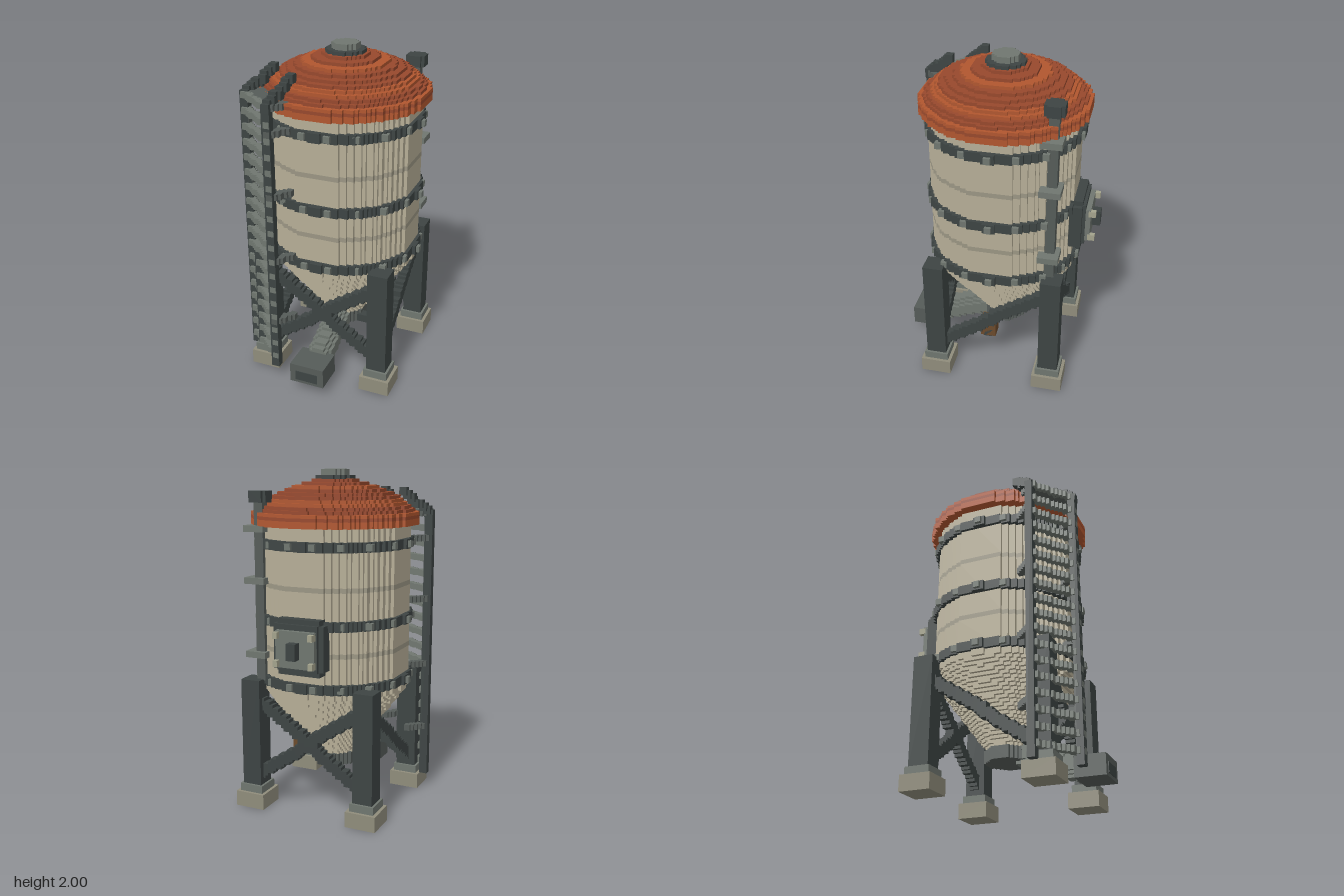
import * as THREE from 'three';
import { mergeGeometries } from 'three/addons/utils/BufferGeometryUtils.js';

const V = 1 / 54; // size of one voxel
const snap = (n) => Math.round(n / V) * V;

const DARK = 0x3d4443, STEEL = 0x555b58, GREY = 0x6f766f, PALE = 0xa3a28c;
const CREAM = 0xb5ad96, SEAM = 0x9a9583, STONE = 0x8f8c7b;
const ORANGE = 0xb0562f, RUST = 0x97482c, BROWN = 0x6b4a2b;

// Box between two corners
function box(x0, x1, y0, y1, z0, z1) {
  return new THREE.BoxGeometry(x1 - x0, y1 - y0, z1 - z0)
    .translate((x0 + x1) / 2, (y0 + y1) / 2, (z0 + z1) / 2).toNonIndexed();
}

// Round slab with a stepped outline
function disc(r, y0, y1, x = 0, z = 0) {
  const n = Math.round(r / V), right = [];
  let last = -1;
  for (let i = -n; i < n; i++) {
    const c = (i + 0.5) * V;
    const w = Math.max(V, snap(Math.sqrt(Math.max(0, r * r - c * c))));
    if (w !== last) {
      if (last >= 0) right.push([last, i * V]);
      right.push([w, i * V]);
    }
    last = w;
  }
  right.push([last, n * V]);
  const left = right.map(([px, py]) => [-px, py]).reverse();
  const shape = new THREE.Shape([...right, ...left].map((p) => new THREE.Vector2(...p)));
  return new THREE.ExtrudeGeometry(shape, { depth: y1 - y0, bevelEnabled: false })
    .rotateX(-Math.PI / 2).translate(x, y0, z);
}

// Slanted bar made of stepped blocks
function beam(a, b, t, h = t) {
  const n = Math.ceil(Math.max(...a.map((v, i) => Math.abs(b[i] - v))) / V);
  const parts = [];
  for (let i = 0; i <= n; i++) {
    const [x, y, z] = a.map((v, k) => snap(v + (b[k] - v) * i / n));
    parts.push(box(x - t / 2, x + t / 2, y - h / 2, y + h / 2, z - t / 2, z + t / 2));
  }
  return mergeGeometries(parts);
}

export function createModel() {
  const model = new THREE.Group();
  const silo = new THREE.Group();
  silo.name = 'silo';
  silo.position.set(0.0125, 0, -0.018);
  model.add(silo);

  const add = (name, color, ...geos) => {
    const mesh = new THREE.Mesh(mergeGeometries(geos),
      new THREE.MeshStandardMaterial({ color, flatShading: true }));
    mesh.name = name;
    silo.add(mesh);
  };

  // Legs on stepped footings
  for (const sx of [-1, 1]) for (const sz of [-1, 1]) {
    const x = sx * 0.36, z = sz * 0.352;
    const post = (w, y0, y1) => box(x - w, x + w, y0, y1, z - w, z + w);
    add('footing', STONE, post(0.0926, 0, 0.0926));
    add('footingCap', GREY, post(0.074, 0.0926, 0.139));
    add('leg', DARK, post(0.0602, 0.139, 0.787));
  }

  // Cross braces front and back, single braces on the sides
  for (const z of [-0.352, 0.352]) {
    add('crossBrace', DARK,
      beam([-0.32, 0.65, z], [0.32, 0.21, z], 0.0556),
      beam([-0.32, 0.21, z], [0.32, 0.65, z], 0.0556));
  }
  for (const x of [-0.36, 0.36]) {
    add('sideBrace', DARK, beam([x, 0.65, -0.32], [x, 0.21, 0.32], 0.0556));
  }

  // Hopper cone
  const cone = [];
  for (let i = 16; i < 41; i++) {
    cone.push(disc(Math.min(0.437, 0.125 + (i - 16) * 0.0137), i * V, (i + 1) * V));
  }
  add('hopper', CREAM, ...cone);
  add('outletCollar', STEEL, disc(0.13, 0.222, 0.297));
  add('gateRod', DARK, box(0.11, 0.3, 0.225, 0.275, 0.02, 0.075));
  add('gateMotor', BROWN, box(0.215, 0.3, 0.23, 0.345, 0, 0.095));

  // Discharge chute leading forward
  const chute = [];
  for (let i = 0; i <= 20; i++) {
    const z = i * V + 0.06, y = snap(0.275 - i * 0.0062);
    chute.push(box(-0.074, 0.074, y - 0.037, y + 0.037, z, z + V),
      box(-0.037, 0.037, y - 0.074, y + 0.074, z, z + V),
      box(-0.0556, 0.0556, y - 0.0556, y + 0.0556, z, z + V));
  }
  add('chute', GREY, ...chute);
  add('chuteBox', STEEL, box(-0.111, 0.102, 0.07, 0.192, 0.425, 0.605));
  add('chuteOpening', DARK, box(-0.074, 0.065, 0.09, 0.15, 0.6, 0.609));

  // Tank wall with seams, hoops and rivets
  const R = 0.435;
  let y = 0.759;
  for (const s of [0.963, 1.333]) {
    add('wall', CREAM, disc(R, y, s));
    add('seam', SEAM, disc(R, s, s + 1.5 * V));
    y = s + 1.5 * V;
  }
  add('wall', CREAM, disc(R, y, 1.69));
  for (const h of [0.759, 1.12, 1.556]) {
    add('hoop', DARK, disc(0.455, h, h + 0.0556));
    const rivets = [];
    for (let i = 0; i < 18; i++) {
      const a = (i + 0.5) * Math.PI / 9, x = snap(0.457 * Math.sin(a)), z = snap(0.457 * Math.cos(a));
      rivets.push(box(x - V, x + V, h + 0.5 * V, h + 2.5 * V, z - V, z + V));
    }
    add('rivets', GREY, ...rivets);
  }

  // Stepped dome roof in alternating bands
  const roof = [0.485, 0.485, 0.485, 0.485, 0.457, 0.437, 0.415, 0.393,
    0.37, 0.335, 0.29, 0.25, 0.19, 0.13];
  const bands = { [ORANGE]: [], [RUST]: [] };
  roof.forEach((r, i) => {
    const tone = [0, 1, 3, 6, 7, 11].includes(i) ? ORANGE : RUST;
    bands[tone].push(disc(r, (i + 91) * V, (i + 92) * V));
  });
  add('roofLightBands', ORANGE, ...bands[ORANGE]);
  add('roofDarkBands', RUST, ...bands[RUST]);
  add('ventCollar', DARK, disc(0.11, 1.92, 1.965));
  add('ventCap', GREY, disc(0.078, 1.965, 2));

  // Fill pipe on the back left leg
  add('fillPipe', STEEL, box(0.287, 0.343, 0.78, 1.83, -0.357, -0.301));
  add('fillPipeCap', DARK, disc(0.06, 1.815, 1.88, 0.315, -0.33));
  for (const h of [0.917, 1.352, 1.65]) {
    add('pipeBracket', GREY, box(0.27, 0.4, h, h + 2 * V, -0.385, -0.265));
  }

  // Back inspection hatch
  add('hatchFrame', DARK,
    box(-0.155, 0.155, 0.9, 1.16, -0.48, -0.38),
    box(-0.13, 0.13, 0.87, 1.19, -0.48, -0.38),
    box(-0.125, 0.125, 0.898, 1.162, -0.498, -0.48));
  add('hatchDoor', GREY, box(-0.12, 0.12, 0.92, 1.13, -0.527, -0.49));
  add('hatchHandle', DARK, box(-0.028, 0.028, 0.975, 1.07, -0.577, -0.52));
  for (const x of [-0.109, 0.109]) for (const h of [0.945, 1.105]) {
    add('hatchKnob', PALE, box(x - 0.014, x + 0.014, h - V, h + V, -0.557, -0.515));
  }

  // Ladder on the front right diagonal
  const A = [-0.472, 0.33], B = [-0.244, 0.515];
  for (const [[x, z], [ix, iz]] of [[A, [-0.352, 0.205]], [B, [-0.175, 0.375]]]) {
    add('ladderRail', DARK, box(x - 0.025, x + 0.025, 0.09, 1.76, z - 0.022, z + 0.022));
    add('handRail', DARK, beam([x, 1.74, z], [ix, 1.87, iz], 0.045, 0.05));
    for (const h of [0.41, 0.82, 1.22, 1.6]) {
      add('ladderStandoff', STEEL, beam([x, h, z], [x + 0.08, h, z - 0.09], 0.037));
    }
  }
  for (let i = 0; i < 18; i++) {
    const h = 0.17 + i * 5 * V;
    add('rung', GREY, beam([A[0], h, A[1]], [B[0], h, B[1]], 0.037, 2 * V));
  }

  // Landing plate between ladder and roof
  const landing = [];
  for (let i = 0; i <= 4; i++) {
    const o = i * V;
    landing.push(beam([A[0] + o, 1.735, A[1] - o], [B[0] + o, 1.735, B[1] - o], 0.037, 2 * V));
  }
  add('landing', STEEL, ...landing);

  return model;
}
